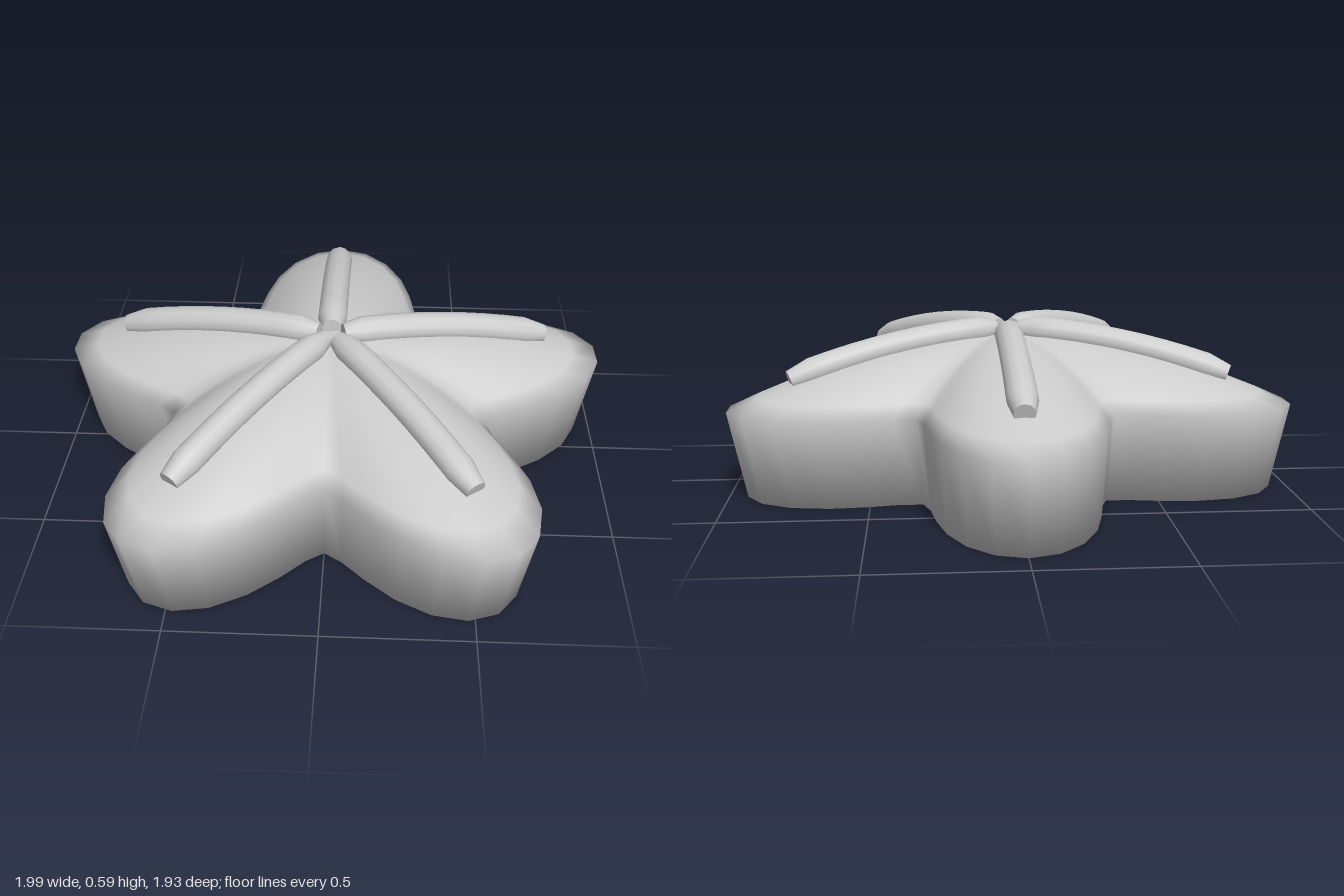
import * as THREE from 'three';
import { mergeVertices, toCreasedNormals } from 'three/addons/utils/BufferGeometryUtils.js';

const ARMS = 5, TIP = 1.045, NOTCH = 0.575, RIM_Y = 0.31, DOME = 0.22;

// Skin a list of equal-length closed rings; a ring may collapse to a point to close an end
function loft(rings) {
  const n = rings[0].length, pos = [], idx = [];
  rings.forEach(ring => ring.forEach(p => pos.push(...p)));
  for (let i = 0; i < rings.length - 1; i++) {
    for (let j = 0; j < n; j++) {
      const k = (j + 1) % n;
      const a = i * n + j, b = i * n + k, c = a + n, d = b + n;
      idx.push(a, b, c, b, d, c);
    }
  }
  const geo = new THREE.BufferGeometry();
  geo.setAttribute('position', new THREE.Float32BufferAttribute(pos, 3));
  geo.setIndex(idx);
  const merged = mergeVertices(geo, 1e-5);
  merged.computeVertexNormals();
  return merged;
}

// Height of the domed top at a fraction t of the outline radius
const domeY = t => RIM_Y + DOME * (1 - t * t);

// Five-lobed outline scaled by s at height y
function starRing(s, y) {
  return Array.from({ length: 60 }, (_, j) => {
    const a = (j / 60) * Math.PI * 2;
    const wave = Math.max(0, 0.5 + 0.5 * Math.cos(ARMS * a));
    const r = s * (NOTCH + (TIP - NOTCH) * Math.pow(wave, 0.85));
    return [r * Math.sin(a), y, -r * Math.cos(a)];
  });
}

function bodyGeometry() {
  const rings = [];
  for (let i = 0; i <= 10; i++) rings.push(starRing(i / 10, domeY(i / 10)));
  rings.push(starRing(0.94, 0), starRing(0, 0));
  return loft(rings);
}

// Rounded rib that follows the dome along +x, with tapered blunt ends
function ribGeometry() {
  const stations = [[0.045, 0], [0.045, 0.034], [0.11, 0.052]];
  for (let i = 1; i <= 8; i++) stations.push([0.11 + 0.63 * i / 8, 0.052]);
  stations.push([0.82, 0.036], [0.82, 0]);
  return toCreasedNormals(loft(stations.map(([r, radius]) => {
    const slope = Math.atan(-2 * DOME * r / (TIP * TIP));
    const y = domeY(r / TIP) + 0.012;
    return Array.from({ length: 12 }, (_, j) => {
      const a = (j / 12) * Math.PI * 2, up = radius * Math.cos(a);
      return [r - up * Math.sin(slope), y + up * Math.cos(slope), radius * Math.sin(a)];
    });
  })), Math.PI / 4);
}

export function createModel() {
  const model = new THREE.Group();
  model.name = 'starfish';
  const grey = new THREE.MeshStandardMaterial({ color: 0xcccccc });
  grey.name = 'light grey';

  const star = new THREE.Group();
  star.name = 'star';
  star.position.z = 0.085;
  model.add(star);

  // Body
  const body = new THREE.Mesh(bodyGeometry(), grey);
  body.name = 'body';
  star.add(body);

  // One rib along each arm
  const ribGeo = ribGeometry();
  for (let k = 0; k < ARMS; k++) {
    const rib = new THREE.Mesh(ribGeo, grey);
    rib.name = `armRib${k + 1}`;
    rib.rotation.y = Math.PI / 2 + (k * Math.PI * 2) / ARMS;
    star.add(rib);
  }
  return model;
}
